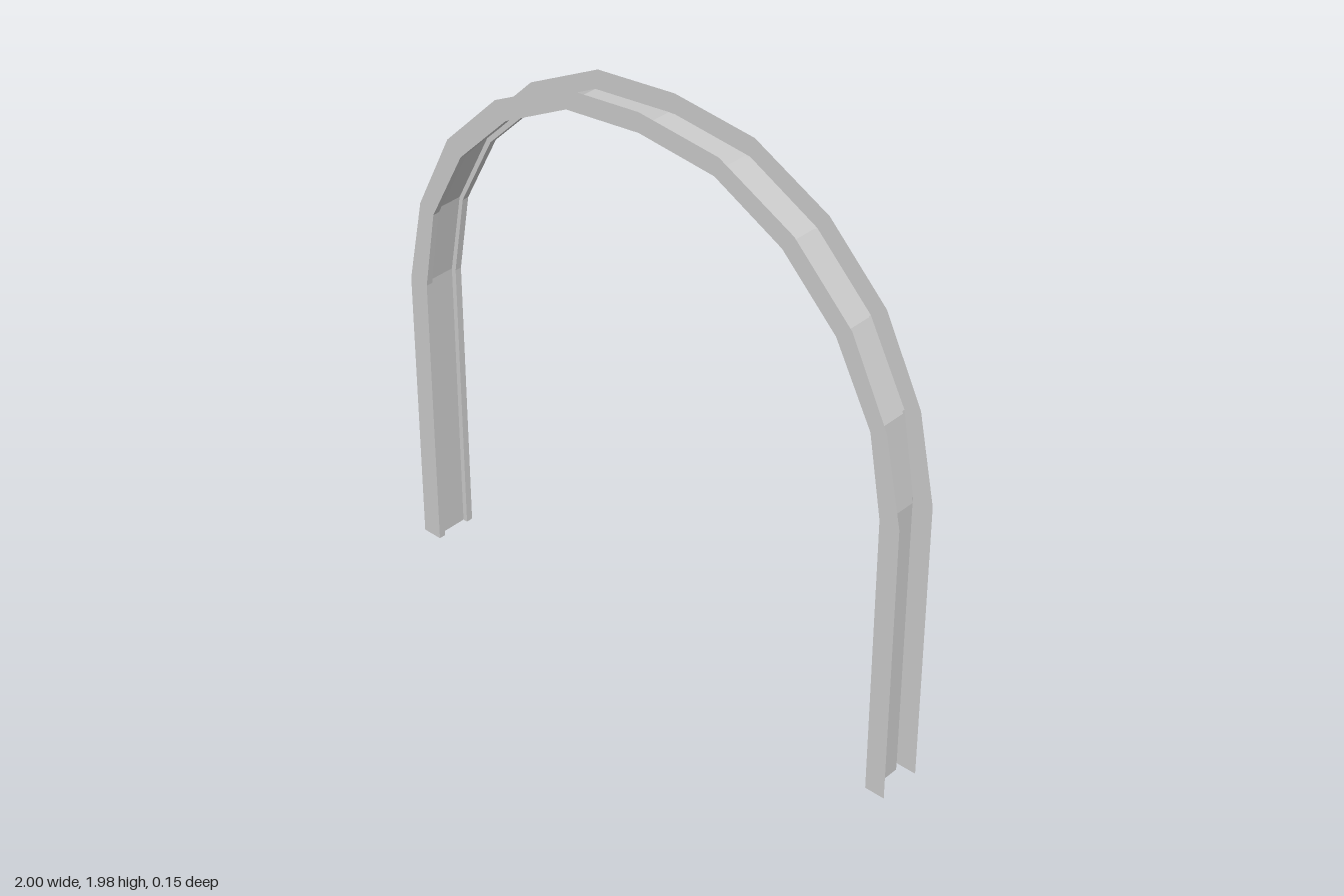
import * as THREE from 'three';

// Right half of the arch, foot to apex: [outer x, outer y, inner x, inner y]
const HALF = [
  [1, 0, 0.928, 0],
  [1, 1.007, 0.928, 1.007],
  [0.938, 1.309, 0.88, 1.288],
  [0.8, 1.587, 0.744, 1.546],
  [0.584, 1.802, 0.541, 1.747],
  [0.304, 1.945, 0.288, 1.879],
  [0, 1.976, 0, 1.909],
];
const mirrored = HALF.slice(0, -1).reverse().map(([a, b, c, d]) => [-a, b, -c, d]);
const PATH = [...HALF, ...mirrored];

const material = new THREE.MeshStandardMaterial({
  color: 0xcccccc, flatShading: true, side: THREE.DoubleSide,
});

// Sheet strip swept along the arch; each edge is [depth from outer rim 0..1, z]
function strip(name, edgeA, edgeB) {
  const positions = [];
  const index = [];
  PATH.forEach(([ox, oy, ix, iy], i) => {
    for (const [t, z] of [edgeA, edgeB]) {
      positions.push(ox + (ix - ox) * t, oy + (iy - oy) * t, z);
    }
    if (i > 0) {
      const k = 2 * (i - 1);
      index.push(k, k + 2, k + 1, k + 1, k + 2, k + 3);
    }
  });
  const geometry = new THREE.BufferGeometry();
  geometry.setAttribute('position', new THREE.Float32BufferAttribute(positions, 3));
  geometry.setIndex(index);
  geometry.computeVertexNormals();
  const mesh = new THREE.Mesh(geometry, material);
  mesh.name = name;
  return mesh;
}

export function createModel() {
  const group = new THREE.Group();
  group.name = 'archedChannel';

  const zFlange = 0.076;
  const zWeb = 0.052;
  const webDepth = 0.76;

  // Channel floor, facing outward
  group.add(strip('web', [webDepth, zWeb], [webDepth, -zWeb]));

  // Side plates, inner lips and the small steps up to the floor
  for (const [side, s] of [['front', 1], ['back', -1]]) {
    const edges = [[0, s * zFlange], [1, s * zFlange], [1, s * zWeb], [webDepth, s * zWeb]];
    if (s < 0) edges.reverse();
    const names = s > 0 ? ['Flange', 'Lip', 'Step'] : ['Step', 'Lip', 'Flange'];
    names.forEach((n, i) => group.add(strip(side + n, edges[i], edges[i + 1])));
  }
  return group;
}
